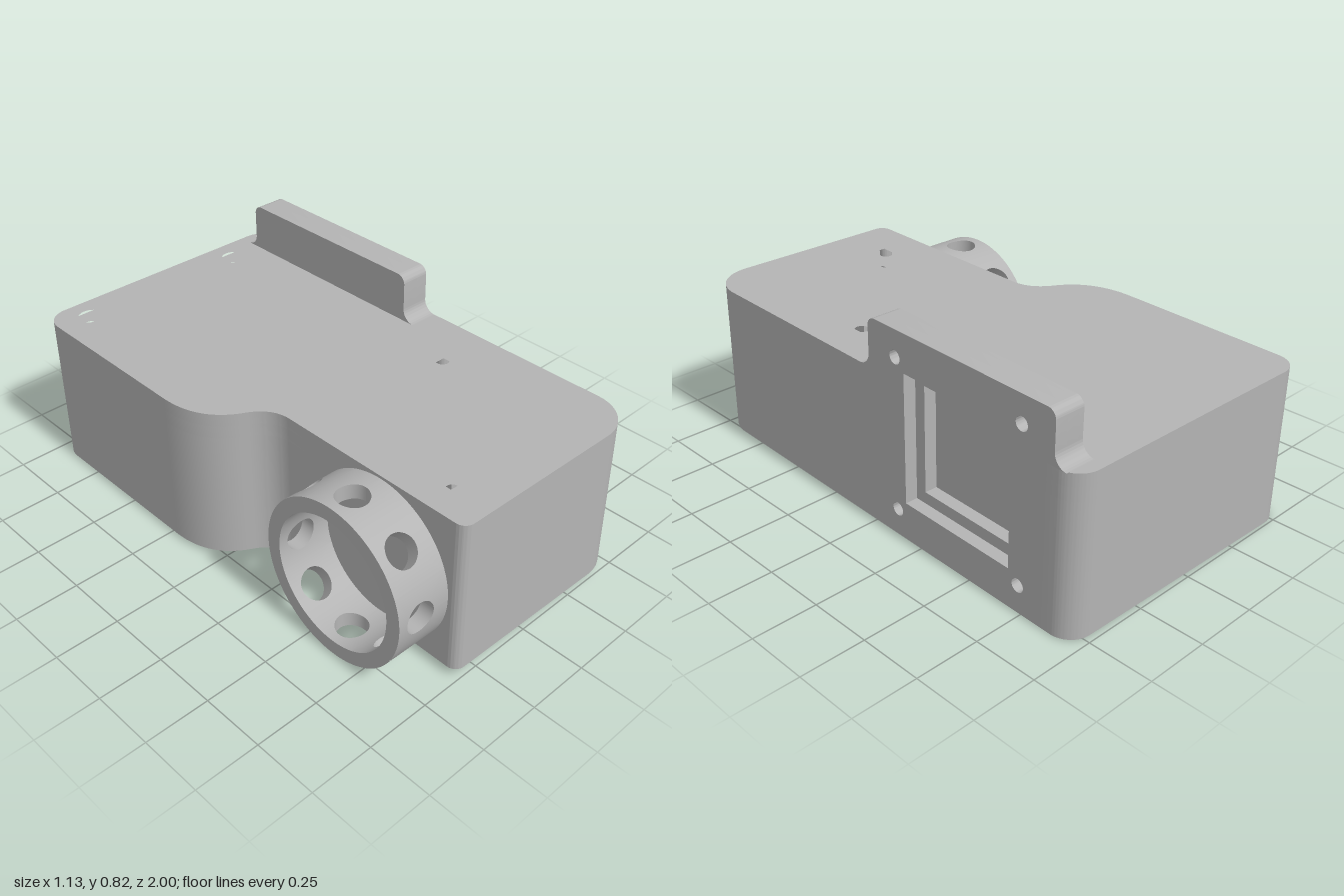
import * as THREE from 'three';
import { toCreasedNormals } from 'three/addons/utils/BufferGeometryUtils.js';

const BOTTOM = 0.015, TOP = 0.63, RIGHT = 0.547;
const STEP = 0.05;               // depth of each pocket step
const WALL = 0.12;               // thickness of the side plate
const SIDE_Z = -0.445;           // middle of the side plate

const circle = (x, y, r) => new THREE.Path().absarc(x, y, r, 0, Math.PI * 2, true);

const square = (x, y, h) => new THREE.Path([[-h, -h], [-h, h], [h, h], [h, -h]]
  .map(([a, b]) => new THREE.Vector2(x + a, y + b)));

// Four small screw holes around a square pocket
const screws = (x, y) => [[-1, -1], [-1, 1], [1, 1], [1, -1]]
  .map(([a, b]) => circle(x + a * 0.298, y + b * 0.298, 0.026));

function extrude(shape, holes, depth) {
  shape.holes = holes;
  const g = new THREE.ExtrudeGeometry(shape, { depth, bevelEnabled: false, curveSegments: 20 });
  return toCreasedNormals(g, 0.5);
}

// Plan of the housing in (x, z), with a notch for the side plate
function housingPlan() {
  const s = new THREE.Shape();
  s.moveTo(-0.568, -0.21);
  s.quadraticCurveTo(-0.568, -0.02, -0.42, 0.055);
  s.quadraticCurveTo(-0.33, 0.1, -0.33, 0.19);
  s.absarc(-0.29, 0.957, 0.04, Math.PI, Math.PI / 2, true);
  s.absarc(0.377, 0.827, 0.17, Math.PI / 2, 0, true);
  s.lineTo(RIGHT, -0.05);
  s.lineTo(RIGHT - WALL, -0.05);
  s.lineTo(RIGHT - WALL, -0.84);
  s.lineTo(RIGHT, -0.84);
  s.absarc(0.457, -0.892, 0.09, 0, -Math.PI / 2, true);
  s.absarc(-0.478, -0.892, 0.09, -Math.PI / 2, -Math.PI, true);
  s.closePath();
  return s;
}

// Side plate in (z, y): fills the notch and rises into a filleted flange
function platePlan() {
  const c = SIDE_Z, s = new THREE.Shape();
  s.moveTo(c - 0.395, BOTTOM);
  s.lineTo(c + 0.395, BOTTOM);
  s.lineTo(c + 0.395, TOP);
  s.lineTo(c + 0.487, TOP);
  s.absarc(c + 0.487, TOP + 0.05, 0.05, -Math.PI / 2, -Math.PI, true);
  s.absarc(c + 0.402, 0.785, 0.035, 0, Math.PI / 2, false);
  s.absarc(c - 0.402, 0.785, 0.035, Math.PI / 2, Math.PI, false);
  s.absarc(c - 0.487, TOP + 0.05, 0.05, 0, -Math.PI / 2, true);
  s.lineTo(c - 0.395, TOP);
  s.closePath();
  return s;
}

// Curved sheet: moves the vertices of a plane by a rule of (u, v)
function sheet(nu, nv, rule) {
  const g = new THREE.PlaneGeometry(1, 1, nu, nv);
  const p = g.attributes.position, uv = g.attributes.uv;
  for (let i = 0; i < p.count; i++) p.setXYZ(i, ...rule(uv.getX(i), uv.getY(i)));
  g.computeVertexNormals();
  return g;
}

export function createModel() {
  const grey = new THREE.MeshStandardMaterial({ color: 0xb4b4b4 });
  grey.name = 'grey';
  const model = new THREE.Group();
  model.name = 'housingAssembly';
  model.rotation.set(-0.015, -0.0145, 0);   // the part sits slightly askew

  const add = (parent, name, geometry) => {
    const m = new THREE.Mesh(geometry, grey);
    m.name = name;
    parent.add(m);
    return m;
  };
  const group = (name) => {
    const g = new THREE.Group();
    g.name = name;
    model.add(g);
    return g;
  };

  // Housing: three layers forming the stepped top pocket
  const housing = group('housing');
  const px = 0.084, pz = 0.54;
  const bolts = () => [[-0.428, -0.87], [0.287, -0.87], [0.287, -0.035]]
    .map(([x, z]) => circle(x, z, 0.05));
  const layers = [
    ['housingRim', TOP, STEP, [square(px, pz, 0.254), ...screws(px, pz)]],
    ['housingLedge', TOP - STEP, STEP, [square(px, pz, 0.208), ...screws(px, pz)]],
    ['housingBase', TOP - 2 * STEP, TOP - 2 * STEP - BOTTOM, []],
  ];
  for (const [name, y, depth, holes] of layers) {
    const g = extrude(housingPlan(), [...bolts(), ...holes], depth);
    add(housing, name, g.rotateX(Math.PI / 2).translate(0, y, 0));
  }

  // Side plate: three layers forming the stepped side pocket
  const plate = group('sidePlate');
  const py = 0.419;
  const plies = [
    ['plateRim', 0, STEP, [square(SIDE_Z, py, 0.254), ...screws(SIDE_Z, py)]],
    ['plateLedge', STEP, STEP, [square(SIDE_Z, py, 0.208), ...screws(SIDE_Z, py)]],
    ['plateBack', 2 * STEP, WALL - 2 * STEP, []],
  ];
  for (const [name, inset, depth, holes] of plies) {
    const g = extrude(platePlan(), holes, depth);
    add(plate, name, g.rotateY(-Math.PI / 2).translate(RIGHT - inset, 0, 0));
  }

  // Collar: a tube along x with eight radial holes
  const collar = group('collar');
  collar.position.set(0, 0.307, 0.632);
  const x0 = -0.551, x1 = -0.33, hx = -0.455, hr = 0.06, R = 0.312, r = 0.255;
  const N = 8, half = Math.PI / N;
  const bend = (x, a, rad) => [x, rad * Math.cos(a), rad * Math.sin(a)];
  const holeEdge = (t, rad) => [hx + hr * Math.cos(t), Math.asin(hr * Math.sin(t) / rad)];
  // Blend from the round hole out to the border of one sector
  const skin = (rad, dir) => sheet(48, 8, (u, v) => {
    const t = dir * u * Math.PI * 2, c = Math.cos(t), s = Math.sin(t);
    const k = 1 / Math.max(Math.abs(c), Math.abs(s));
    const [ex, ea] = holeEdge(t, rad);
    const bx = (x0 + x1) / 2 + c * k * (x1 - x0) / 2, ba = s * k * half;
    return bend(ex + (bx - ex) * v, ea + (ba - ea) * v, rad);
  });
  const outer = skin(R, 1), inner = skin(r, -1);
  const bore = sheet(48, 1, (u, v) => {
    const t = u * Math.PI * 2, rad = v ? R : r;
    const [x, a] = holeEdge(t, rad);
    return bend(x, a, rad);
  });
  for (let i = 0; i < N; i++) {
    for (const [name, g] of [['collarOuter', outer], ['collarInner', inner], ['collarHole', bore]]) {
      add(collar, name, g).rotation.x = i * half * 2;
    }
  }
  for (const [x, turn] of [[x0, -1], [x1, 1]]) {
    add(collar, 'collarEnd', new THREE.RingGeometry(r, R, 96).rotateY(turn * Math.PI / 2).translate(x, 0, 0));
  }
  return model;
}
